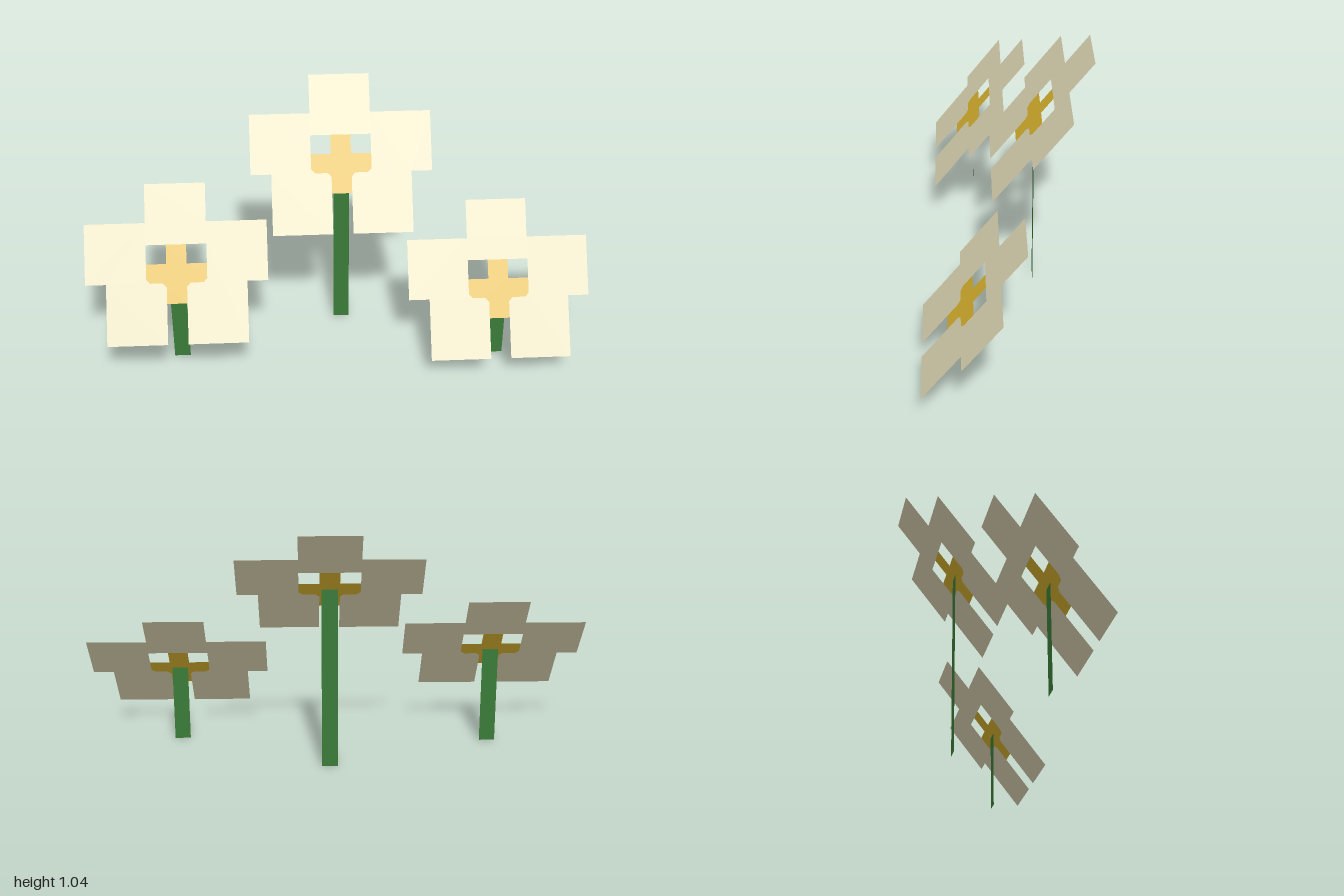
import * as THREE from 'three';

const material = (name, color) => {
  const m = new THREE.MeshStandardMaterial({ color, side: THREE.DoubleSide });
  m.name = name;
  return m;
};

// Closes a right-hand half outline with its mirror image
function mirroredShape(half) {
  const other = half.slice().reverse().map(([x, y]) => [-x, y]);
  return new THREE.Shape([...half, ...other].map(([x, y]) => new THREE.Vector2(x, y)));
}

export function createModel() {
  const cream = material('cream petals', 0xd9d2b0);
  const gold = material('golden centre', 0xd4af2e);
  const green = material('stem green', 0x3a7b39);

  // Petals: outer outline from the top, then the slot that holds the centre
  const petals = new THREE.ShapeGeometry(mirroredShape([
    [0.12, 0.36], [0.12, 0.206], [0.36, 0.206], [0.36, -0.034],
    [0.278, -0.034], [0.278, -0.277], [0.04, -0.277], [0.04, -0.05],
    [0.055, -0.034], [0.105, -0.034], [0.12, -0.018], [0.12, 0.118],
  ]));

  // Centre: a cross with clipped lower corners, open on both sides above its arms
  const centre = new THREE.ShapeGeometry(mirroredShape([
    [0.04, 0.118], [0.04, 0.042], [0.12, 0.042], [0.12, -0.018],
    [0.105, -0.034], [0.055, -0.034], [0.04, -0.05], [0.04, -0.116],
  ]));

  const group = new THREE.Group();
  group.name = 'flowers';

  // Each flower: x, stem height, z
  const flowers = [
    ['leftFlower', 0.637, 0.322, 0.158],
    ['middleFlower', 0.022, 0.757, -0.117],
    ['rightFlower', -0.64, 0.412, 0.115],
  ];
  for (const [name, x, height, z] of flowers) {
    const flower = new THREE.Group();
    flower.name = name;
    flower.position.set(x, 0, z);

    // Flat bloom, leaning back
    const bloom = new THREE.Group();
    bloom.name = 'bloom';
    bloom.position.y = height;
    bloom.rotation.x = -0.658;
    const petalMesh = new THREE.Mesh(petals, cream);
    petalMesh.name = 'petals';
    const centreMesh = new THREE.Mesh(centre, gold);
    centreMesh.name = 'centre';
    bloom.add(petalMesh, centreMesh);

    // Flat upright stem
    const stem = new THREE.Mesh(new THREE.PlaneGeometry(0.064, height), green);
    stem.name = 'stem';
    stem.position.y = height / 2;

    flower.add(bloom, stem);
    group.add(flower);
  }
  return group;
}
